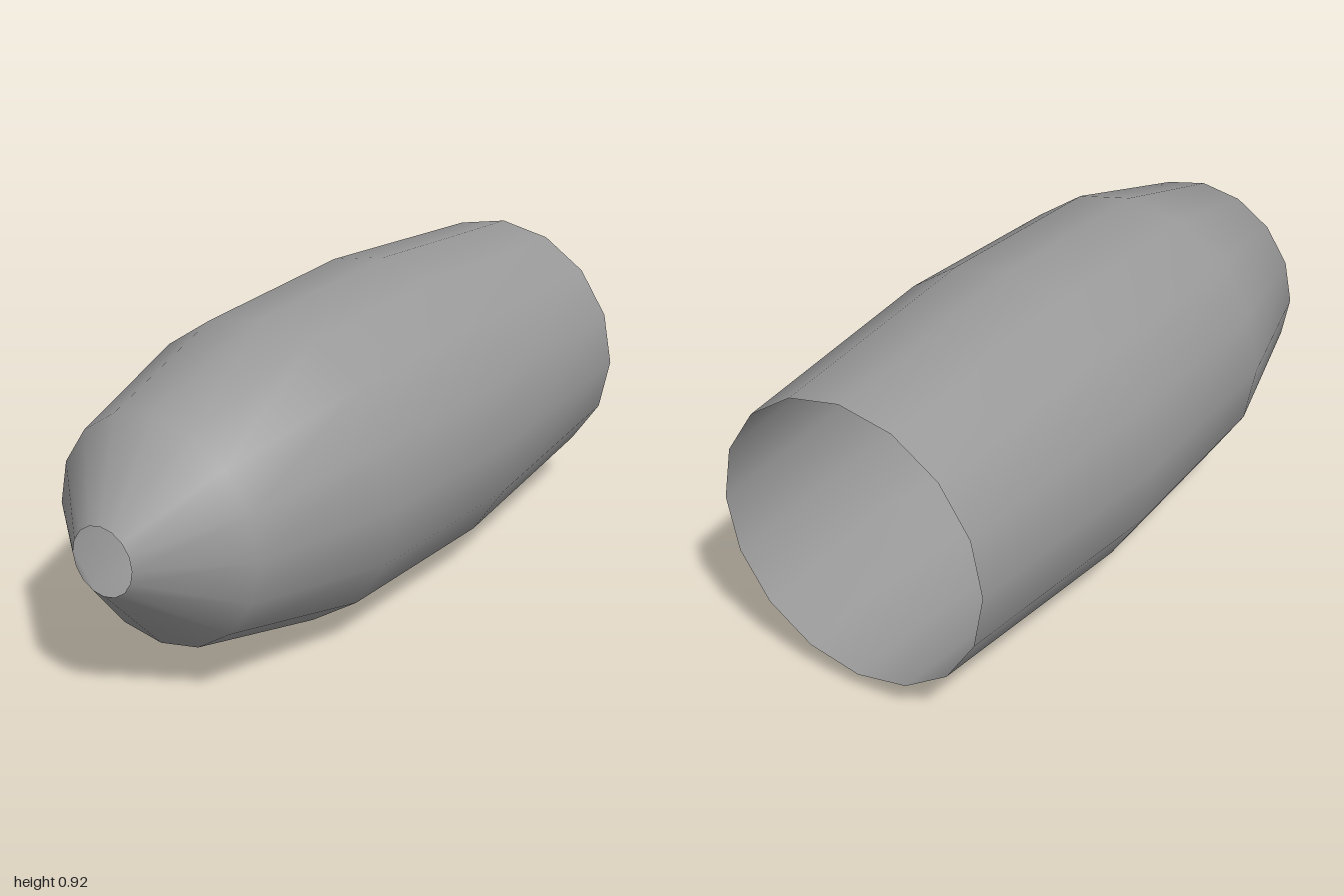
import * as THREE from 'three';

export function createModel() {
  const group = new THREE.Group();
  group.name = 'openShell';

  const grey = new THREE.MeshStandardMaterial({ color: 0x999999, side: THREE.DoubleSide });
  grey.name = 'grey';

  // Profile as [radius, position along z], from the open back to the nose hole
  const profile = [
    [0.405, -1],
    [0.46, -0.28],
    [0.44, 0.335],
    [0.322, 0.79],
    [0.095, 1],
  ].map(([r, z]) => new THREE.Vector2(r, z));

  // Sixteen-sided hollow shell, laid along z and resting on the ground
  const geometry = new THREE.LatheGeometry(profile, 16);
  geometry.rotateX(Math.PI / 2);
  const shell = new THREE.Mesh(geometry, grey);
  shell.name = 'shell';
  shell.position.y = 0.46;
  group.add(shell);

  return group;
}
